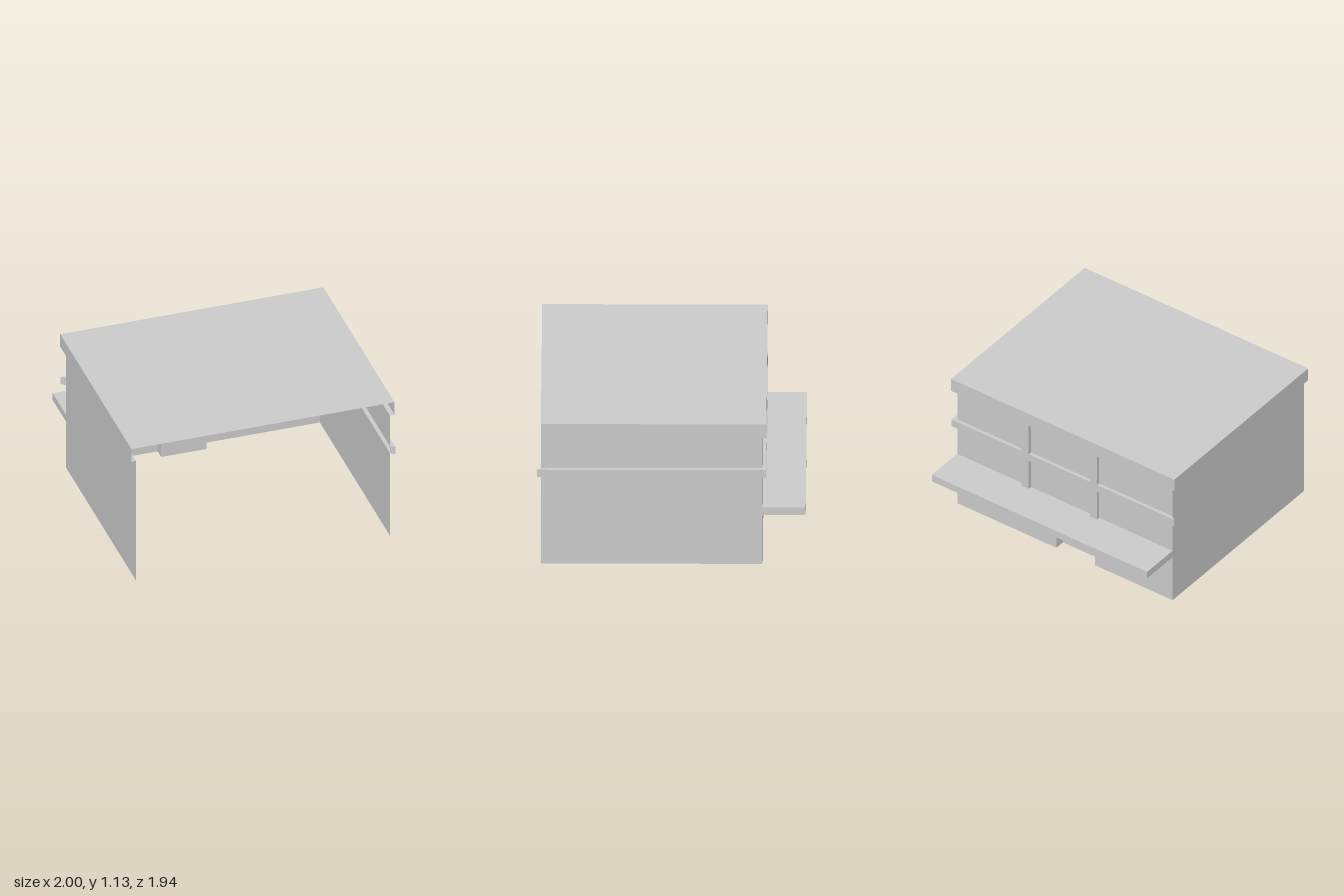
import * as THREE from 'three';

const material = new THREE.MeshStandardMaterial({ color: 0xcccccc, side: THREE.DoubleSide, flatShading: true });

// Main dimensions of the thin-walled shell (facade at -z, open towards +z)
const W = 0.964, BACK = -0.66, FRONT = 0.94, OUT = -0.687;
const CANOPY = [0.392, 0.45], BAND = [0.705, 0.765], ROOF = [1.025, 1.132];
const PILASTERS = [[-0.307, -0.243], [0.305, 0.372]];
const DOOR = { x0: -0.268, x1: 0.077, top: 0.265, depth: 0.08 };

function addMesh(group, name, geometry) {
  const mesh = new THREE.Mesh(geometry, material);
  mesh.name = name;
  group.add(mesh);
  return mesh;
}

// Box with only the listed faces: 0 +x, 1 -x, 2 +y, 3 -y, 4 +z, 5 -z
function openBox([x0, x1], [y0, y1], [z0, z1], faces) {
  const g = new THREE.BoxGeometry(x1 - x0, y1 - y0, z1 - z0);
  const index = Array.from(g.index.array);
  g.setIndex(faces.flatMap(f => index.slice(f * 6, f * 6 + 6)));
  g.clearGroups();
  g.translate((x0 + x1) / 2, (y0 + y1) / 2, (z0 + z1) / 2);
  return g;
}

// Hollow moulding swept along a plan path, mitred between inner and outer [x, z] points
function moulding(inner, outer, [y0, y1], hasTop, hasCaps) {
  const pos = [];
  const quad = (a, b, c, d) => pos.push(...a, ...b, ...c, ...a, ...c, ...d);
  const at = ([x, z], y) => [x, y, z];
  for (let i = 0; i < outer.length - 1; i++) {
    const [a, b, c, d] = [outer[i], outer[i + 1], inner[i], inner[i + 1]];
    quad(at(b, y0), at(a, y0), at(a, y1), at(b, y1));
    quad(at(a, y0), at(b, y0), at(d, y0), at(c, y0));
    if (hasTop) quad(at(b, y1), at(a, y1), at(c, y1), at(d, y1));
  }
  if (hasCaps) {
    for (const i of [0, outer.length - 1]) {
      const [a, c] = [outer[i], inner[i]];
      const [p, q] = i ? [a, c] : [c, a];
      quad(at(p, y0), at(q, y0), at(q, y1), at(p, y1));
    }
  }
  const g = new THREE.BufferGeometry();
  g.setAttribute('position', new THREE.Float32BufferAttribute(pos, 3));
  g.computeVertexNormals();
  return g;
}

export function createModel() {
  const model = new THREE.Group();
  model.name = 'building';

  // Side walls; the +x one is interrupted by the string course
  addMesh(model, 'rightWall', openBox([-W, 0], [0, ROOF[0]], [BACK, FRONT], [1]));
  for (const span of [[0, BAND[0]], [BAND[1], ROOF[0]]]) {
    addMesh(model, 'leftWall', openBox([0, W], span, [BACK, FRONT], [0]));
  }

  // Ground floor facade with the door opening
  const { x0, x1, top, depth } = DOOR;
  const outline = [[-W, 0], [x0, 0], [x0, top], [x1, top], [x1, 0], [W, 0], [W, CANOPY[0]], [-W, CANOPY[0]]];
  const facade = new THREE.ShapeGeometry(new THREE.Shape(outline.map(p => new THREE.Vector2(...p))));
  // Turn to face -z: reverse the triangles and normals
  const order = Array.from(facade.index.array).reverse();
  facade.setIndex(order);
  facade.computeVertexNormals();
  facade.translate(0, 0, BACK);
  addMesh(model, 'groundFloorFacade', facade);
  addMesh(model, 'doorRecess', openBox([x0, x1], [0, top], [BACK, BACK + depth], [0, 1, 2, 4]));

  // Upper facade: wall panels between hollow pilasters, on two storeys
  const edges = [-W, ...PILASTERS.flat(), W];
  for (const span of [[CANOPY[1], BAND[0]], [BAND[1], ROOF[0]]]) {
    for (let i = 0; i < edges.length; i += 2) {
      addMesh(model, 'facadePanel', openBox([edges[i], edges[i + 1]], span, [BACK, 0], [5]));
    }
    for (const p of PILASTERS) {
      addMesh(model, 'pilaster', openBox(p, span, [OUT, BACK], [0, 1, 5]));
    }
  }

  // Canopy over the entrance
  addMesh(model, 'canopy', openBox([-W, W], CANOPY, [-0.97, BACK], [0, 1, 2, 3, 5]));

  // String course round the facade and the +x side
  addMesh(model, 'stringCourse', moulding(
    [[-W, BACK], [W, BACK], [W, FRONT]],
    [[-0.997, OUT], [0.997, OUT], [0.997, 0.968]], BAND, true, true));

  // Roof with a fascia and soffit on three sides
  addMesh(model, 'roofFascia', moulding(
    [[-W, FRONT], [-W, BACK], [W, BACK], [W, FRONT]],
    [[-1, FRONT], [-1, OUT], [1, OUT], [1, FRONT]], ROOF, false, false));
  addMesh(model, 'roof', openBox([-1, 1], ROOF, [OUT, FRONT], [2]));

  return model;
}
